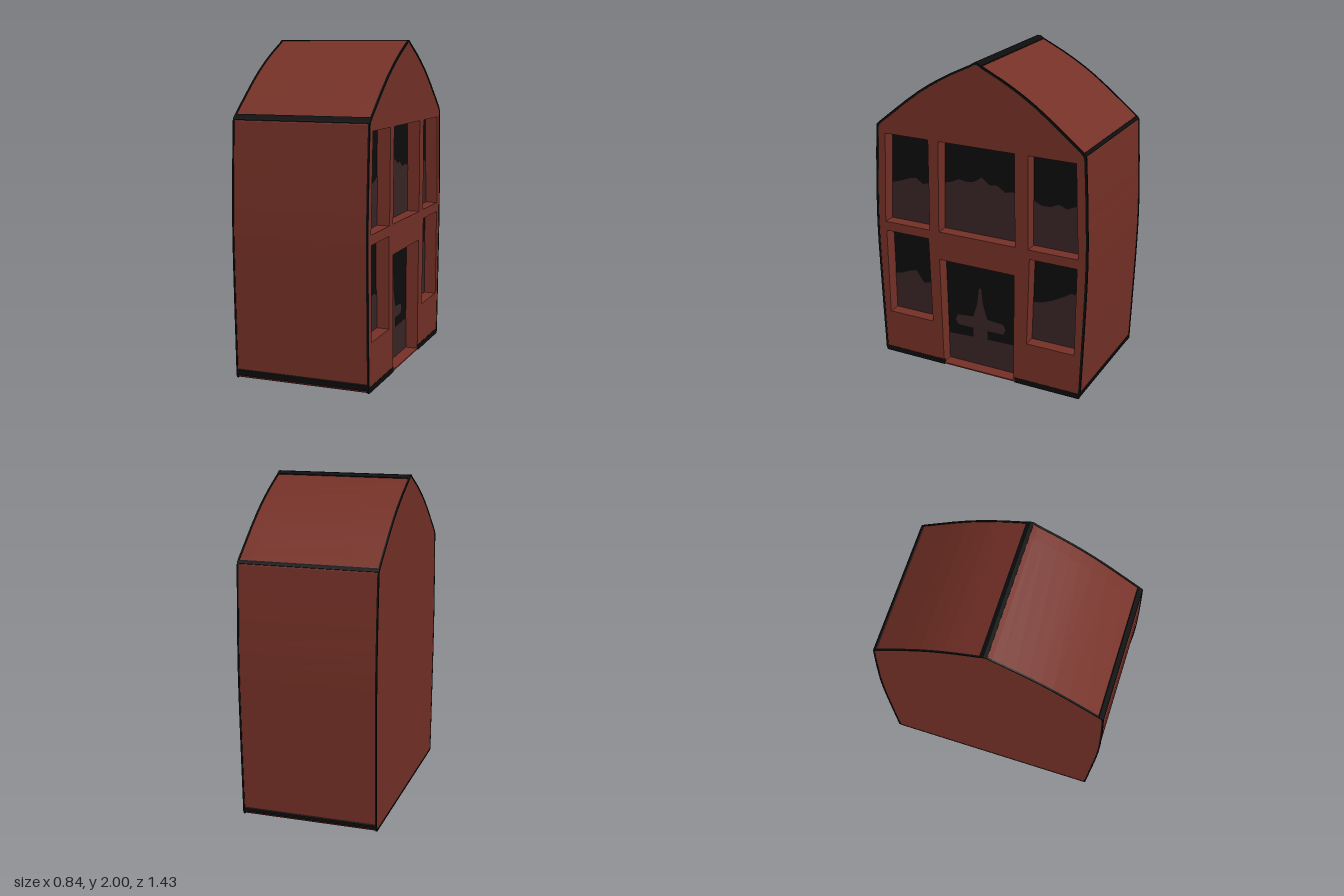
import * as THREE from 'three';

// Profiles are drawn as [s, y] with s = -z, then extruded along +x.
const HALF = 0.42;      // half depth of the block in x
const RECESS = 0.335;   // x of the window panes

const mirror = pts => pts.map(([s, y]) => [-s, y]).reverse();
const inset = (pts, d) => pts.map(([s, y]) => [s * (1 - d / 0.7), 1 + (y - 1) * (1 - d)]);
const toShape = pts => new THREE.Shape(pts.map(p => new THREE.Vector2(...p)));
const smooth = (pts, n) => new THREE.SplineCurve(pts.map(p => new THREE.Vector2(...p)))
  .getPoints(n).map(p => [p.x, p.y]);

// gable outline from one foot over the ridge to the other; d shrinks it
function outline(d = 0) {
  const wall = smooth([[0.692, 0.018], [0.716, 0.8], [0.708, 1.2], [0.69, 1.535]], 16);
  const roof = smooth([[0.66, 1.573], [0.41, 1.77], [0.22, 1.89], [0.035, 1.982]], 8);
  const half = [[0.683, 0], ...wall, [0.684, 1.552], ...roof, [0.01, 1.998]];
  return inset([...half, ...mirror(half)], d);
}

export function createModel() {
  const group = new THREE.Group();
  const brick = new THREE.MeshStandardMaterial({ color: 0x763127 });
  const ink = new THREE.MeshStandardMaterial({ color: 0x0d0d0d });
  const shade = new THREE.MeshStandardMaterial({ color: 0x3a2626 });
  brick.name = 'brickRed';
  ink.name = 'black';
  shade.name = 'duskyBrown';

  function add(name, geometry, material, x) {
    const mesh = new THREE.Mesh(geometry.rotateY(Math.PI / 2), material);
    mesh.position.x = x;
    mesh.name = name;
    group.add(mesh);
  }
  const extrude = (name, shape, material, x0, x1) =>
    add(name, new THREE.ExtrudeGeometry(shape, { depth: x1 - x0, bevelEnabled: false }), material, x0);
  const plate = (name, pts, material, x) => add(name, new THREE.ShapeGeometry(toShape(pts)), material, x);

  // an opening in the facade, its dark pane and a brown skyline of evenly spaced heights
  const facade = toShape(outline(0.004));
  function opening(name, [topL, topR, botR, botL], y0, y1, heights) {
    const frame = [[topL, y1], [topR, y1], [botR, y0], [botL, y0]];
    facade.holes.push(toShape(frame));
    plate(name + 'Pane', frame, ink, RECESS + 0.002);
    const left = Math.min(topL, botL), width = Math.max(topR, botR) - left;
    const skyline = heights.map((y, i) => [left + width * i / (heights.length - 1), y]);
    plate(name + 'Silhouette', [...skyline, [botR, y0], [botL, y0]], shade, RECESS + 0.005);
  }
  const upperSide = [-0.63, -0.33, -0.335, -0.655];
  const lowerSide = [-0.65, -0.345, -0.33, -0.645];
  const flip = ([a, b, c, d]) => [-b, -a, -d, -c];
  opening('upperFrontWindow', upperSide, 0.915, 1.495, [1.15, 1.165, 1.18, 1.2, 1.21, 1.175, 1.19, 1.215]);
  opening('upperBackWindow', flip(upperSide), 0.915, 1.495, [1.2, 1.175, 1.175, 1.2, 1.18, 1.205, 1.19]);
  opening('upperMiddleWindow', [-0.26, 0.245, 0.25, -0.27], 0.915, 1.495,
    [1.21, 1.225, 1.25, 1.24, 1.25, 1.285, 1.245, 1.25, 1.215, 1.225, 1.21]);
  opening('lowerFrontWindow', lowerSide, 0.29, 0.855, [0.53, 0.54, 0.565, 0.58, 0.505, 0.515, 0.49]);
  opening('lowerBackWindow', flip(lowerSide), 0.29, 0.855, [0.54, 0.55, 0.575, 0.61, 0.65, 0.64]);
  opening('door', [-0.27, 0.245, 0.24, -0.255], 0.012, 0.73, [0.19, 0.2, 0.205, 0.21]);

  // spired figure standing behind the door
  const figure = [[0.05, 0.19], [0.05, 0.265], [0.16, 0.267], [0.178, 0.3], [0.16, 0.335], [0.05, 0.345], [0.02, 0.44], [0.008, 0.55]];
  plate('doorFigure', [...figure, ...mirror(figure)].map(([s, y]) => [s - 0.03, y]), shade, RECESS + 0.006);

  // solid house block and the facade slab with its openings
  extrude('houseBlock', toShape(outline(0.004)), brick, -HALF + 0.002, RECESS);
  extrude('facade', facade, brick, RECESS, HALF - 0.002);

  // black trim round both gable faces, left open below the door
  function gableTrim(name, gap, width, base, x0, x1) {
    const inner = outline(width).map(([s, y]) => [s, Math.max(y, base)]);
    const shape = toShape([[gap, 0], ...outline(), [-gap, 0], [-gap, base], ...inner.reverse(), [gap, base]]);
    extrude(name, shape, ink, x0, x1);
  }
  gableTrim('facadeTrim', 0.25, 0.014, 0.034, HALF - 0.01, HALF);
  gableTrim('rearTrim', 0.001, 0.01, 0.01, -HALF, -HALF + 0.01);

  // black lines along the eaves, ridge and foot of the walls
  function line(name, pts) {
    const shape = toShape([...pts, ...inset(pts, 0.008).reverse()]);
    extrude(name, shape, ink, -HALF + 0.001, HALF - 0.001);
  }
  line('frontEaveLine', [[-0.69, 1.543], [-0.684, 1.552], [-0.66, 1.574]]);
  line('backEaveLine', [[0.69, 1.543], [0.684, 1.552], [0.674, 1.561]]);
  line('ridgeLine', [[-0.01, 1.998], [0.01, 1.998], [0.035, 1.983]]);
  line('frontFootLine', [[-0.692, 0.018], [-0.6935, 0.05]]);
  line('backFootLine', [[0.692, 0.018], [0.693, 0.04]]);
  return group;
}
